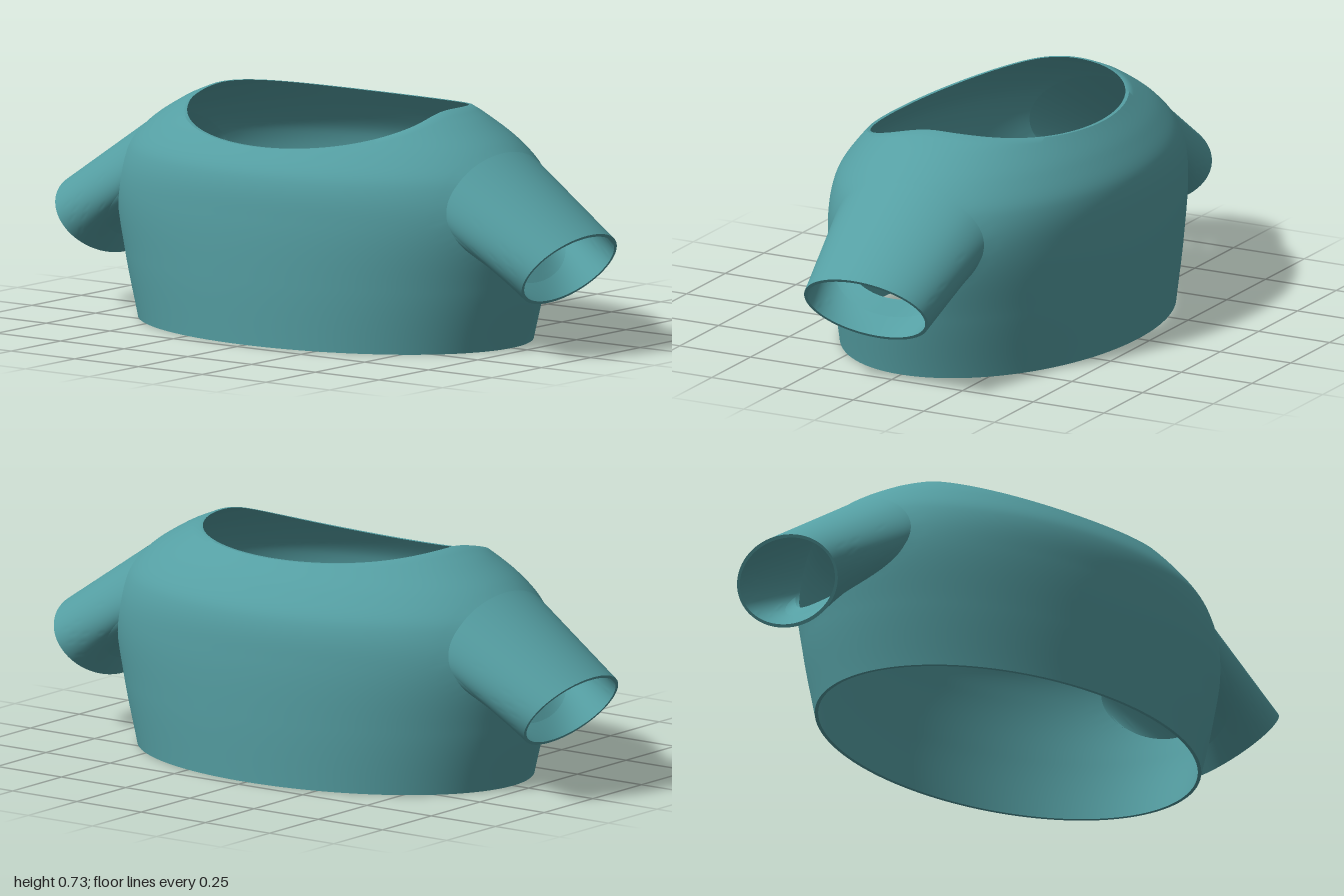
import * as THREE from 'three';
import { toCreasedNormals } from 'three/addons/utils/BufferGeometryUtils.js';

const WALL = 0.011;
const TAU = Math.PI * 2;

// Half-width (x) and half-depth (z) of the torso at each height
const HEIGHT = [0, 0.2, 0.4, 0.53, 0.615, 0.69, 0.725];
const HALF_WIDTH = [0.69, 0.742, 0.775, 0.735, 0.655, 0.535, 0.455];
const HALF_DEPTH = [0.46, 0.472, 0.475, 0.46, 0.405, 0.335, 0.3];

// Armhole oval, and cuff oval (leaning outwards)
const HOLE = { y: 0.435, ry: 0.175, rz: 0.265 };
const CUFF = { x: 0.915, y: 0.27, rx: 0.085, ry: 0.115, rz: 0.215 };

// Smooth interpolation of a table over height
function smooth(values, y) {
  const n = HEIGHT.length - 1;
  let i = 0;
  while (i < n - 1 && y > HEIGHT[i + 1]) i++;
  const slope = (k) => {
    const p = Math.max(k - 1, 0), q = Math.min(k + 1, n);
    return (values[q] - values[p]) / (HEIGHT[q] - HEIGHT[p]);
  };
  const h = HEIGHT[i + 1] - HEIGHT[i];
  const t = (y - HEIGHT[i]) / h, t2 = t * t, t3 = t2 * t;
  return (2 * t3 - 3 * t2 + 1) * values[i] + (t3 - 2 * t2 + t) * h * slope(i)
    + (3 * t2 - 2 * t3) * values[i + 1] + (t3 - t2) * h * slope(i + 1);
}

// x of the torso wall for a given height and depth
function wallX(y, z, inset) {
  const k = z / (smooth(HALF_DEPTH, y) - inset);
  return (smooth(HALF_WIDTH, y) - inset) * Math.sqrt(Math.max(0, 1 - k * k));
}

// Distance from the armhole centre; 1 lies on its edge
function holeDistance(p) {
  if (Math.abs(p.x) < 0.5) return 9;
  return Math.hypot((p.y - HOLE.y) / HOLE.ry, p.z / HOLE.rz);
}

// Skin over rings of points, each ring closed; optionally skips triangles
function skin(rings, { closed = false, flip = false, skip = () => false } = {}) {
  const cols = rings[0].length;
  const points = rings.flat();
  const index = [];
  const add = (a, b, c) => {
    if (!skip(points[a], points[b], points[c])) index.push(...(flip ? [a, c, b] : [a, b, c]));
  };
  const last = closed ? rings.length : rings.length - 1;
  for (let r = 0; r < last; r++) {
    for (let c = 0; c < cols; c++) {
      const r2 = (r + 1) % rings.length, c2 = (c + 1) % cols;
      const a = r * cols + c, b = r2 * cols + c, d = r * cols + c2, e = r2 * cols + c2;
      add(a, b, d);
      add(b, e, d);
    }
  }
  const geometry = new THREE.BufferGeometry().setFromPoints(points);
  geometry.setIndex(index);
  return toCreasedNormals(geometry, 0.7);
}

// Torso ring: v runs from the hem (0) to the dipped neckline (1)
function torsoRing(v, inset) {
  const cols = 160, ring = [];
  for (let c = 0; c < cols; c++) {
    const angle = (c / cols) * TAU, s = Math.sin(angle);
    const neckline = 0.725 - (s > 0 ? 0.11 : 0.037) * s * s;
    const y = v * neckline;
    const p = new THREE.Vector3(
      (smooth(HALF_WIDTH, y) - inset) * Math.cos(angle), y,
      (smooth(HALF_DEPTH, y) - inset) * s);
    // Pull points near the armhole onto its edge
    const d = holeDistance(p);
    if (Math.abs(d - 1) < 0.055) {
      p.y = HOLE.y + (p.y - HOLE.y) / d;
      p.z /= d;
      p.x = Math.sign(p.x) * wallX(p.y, p.z, inset);
    }
    ring.push(p);
  }
  return ring;
}

function torsoGeometry() {
  const rows = 60, outer = [], inner = [];
  for (let r = 0; r <= rows; r++) {
    outer.push(torsoRing(r / rows, 0));
    inner.unshift(torsoRing(r / rows, WALL));
  }
  const skip = (...corners) => corners.every((p) => holeDistance(p) < 1.001);
  return skin([...outer, ...inner], { closed: true, skip });
}

// Sleeve ring: v runs from the armhole (0) to the cuff (1)
function sleeveRing(v, inset, side) {
  const cols = 96, ring = [];
  for (let c = 0; c < cols; c++) {
    const angle = (c / cols) * TAU, s = Math.sin(angle), k = Math.cos(angle);
    const y = HOLE.y + HOLE.ry * s, z = HOLE.rz * k;
    const shrink = 1 - inset / 0.143;
    const root = new THREE.Vector3(wallX(y, z, inset), y, z);
    const cuff = new THREE.Vector3(
      CUFF.x + CUFF.rx * s * shrink, CUFF.y + CUFF.ry * s * shrink, (CUFF.rz - inset) * k);
    const p = root.lerp(cuff, v);
    p.x *= side;
    ring.push(p);
  }
  return ring;
}

function sleeveGeometry(side) {
  const rows = 12, outer = [], inner = [];
  for (let r = 0; r <= rows; r++) {
    outer.push(sleeveRing(r / rows, 0, side));
    inner.unshift(sleeveRing(r / rows, WALL, side));
  }
  return skin([...outer, ...inner], { flip: side < 0 });
}

export function createModel() {
  const group = new THREE.Group();
  group.name = 'shirt';
  const cloth = new THREE.MeshStandardMaterial({ color: 0x559fa3, side: THREE.DoubleSide });
  const add = (name, geometry) => {
    const mesh = new THREE.Mesh(geometry, cloth);
    mesh.name = name;
    group.add(mesh);
  };
  add('torso', torsoGeometry());
  add('leftSleeve', sleeveGeometry(1));
  add('rightSleeve', sleeveGeometry(-1));
  return group;
}
